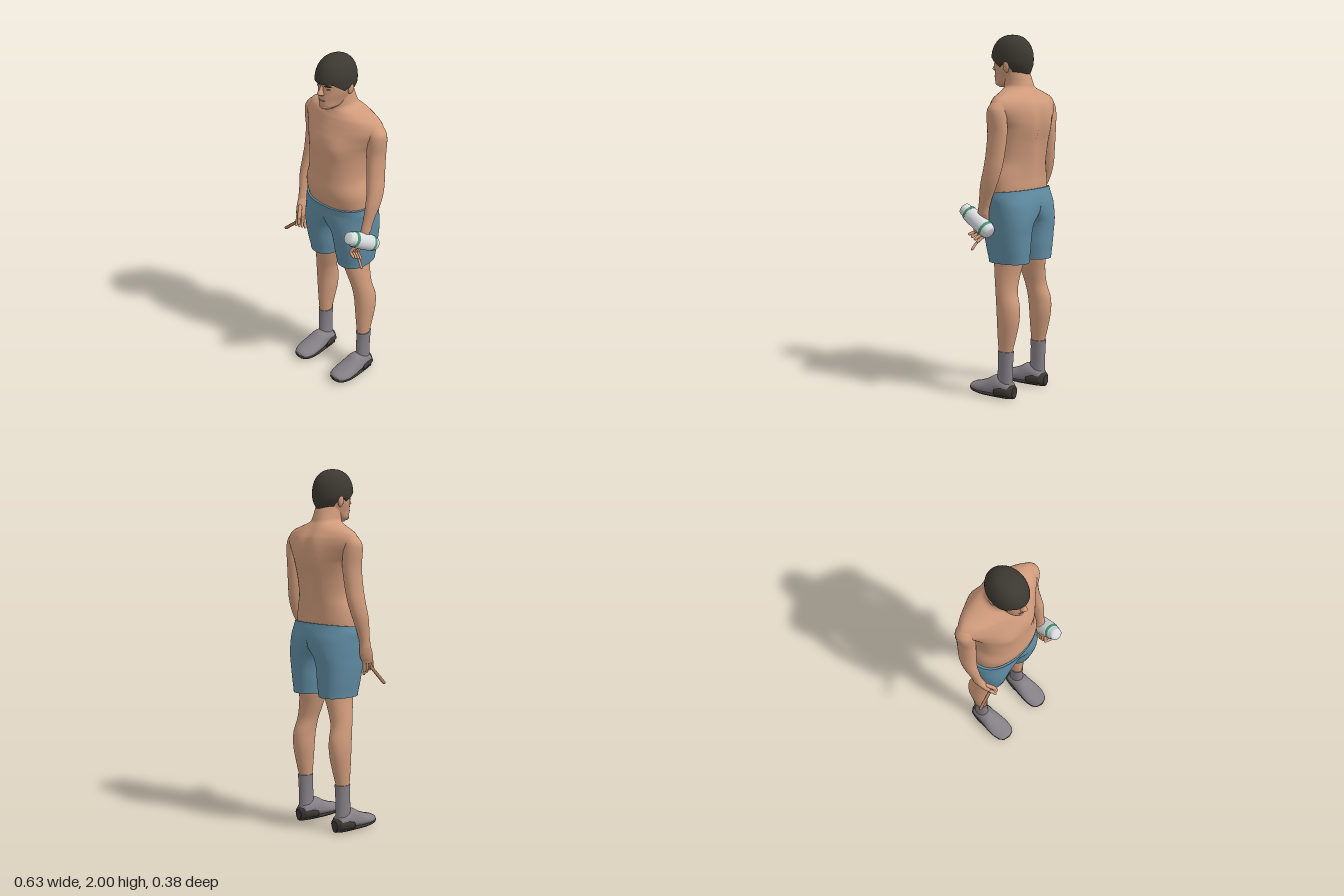
import * as THREE from 'three';
import { toCreasedNormals } from 'three/addons/utils/BufferGeometryUtils.js';

const mat = (name, color, side = THREE.FrontSide) => {
  const m = new THREE.MeshStandardMaterial({ color, side });
  m.name = name;
  return m;
};

// Closed loft through horizontal slices, lowest first.
// Row: [y, centreX, halfWidth, zFront, zBack, zWidest, squareness]
function loft(rows, { steps = 5, segs = 32, bend } = {}) {
  const full = rows.map(r => [r[0], r[1], r[2], r[3], r[4], r[5] ?? (r[3] + r[4]) / 2, r[6] ?? 2]);
  const rings = [];
  for (let i = 0; i < full.length - 1; i++) {
    const [a, b, c, d] = [-1, 0, 1, 2].map(k => full[Math.min(Math.max(i + k, 0), full.length - 1)]);
    for (let s = 0; s < steps; s++) {
      const t = s / steps;
      rings.push(b.map((v, k) => k === 0 ? v + (c[0] - v) * t : 0.5 * (2 * v + (c[k] - a[k]) * t
        + (2 * a[k] - 5 * v + 4 * c[k] - d[k]) * t * t + (3 * v - a[k] - 3 * c[k] + d[k]) * t ** 3)));
    }
  }
  rings.push(full[full.length - 1]);
  const pos = [], idx = [], p = new THREE.Vector3();
  const put = (x, y, z) => {
    p.set(x, y, z);
    if (bend) bend(p);
    pos.push(p.x, p.y, p.z);
  };
  const ring = ([y, cx, rx, zf, zb, zm, n]) => {
    for (let j = 0; j < segs; j++) {
      const a = j / segs * Math.PI * 2, c = Math.cos(a), s = Math.sin(a);
      const k = (Math.abs(c) ** n + Math.abs(s) ** n) ** (-1 / n);
      put(cx + Math.max(rx, 0.001) * c * k, y, zm + s * k * (s > 0 ? zf - zm : zm - zb));
    }
  };
  rings.forEach(ring);
  for (let i = 0; i < rings.length - 1; i++) for (let j = 0; j < segs; j++) {
    const a = i * segs + j, b = i * segs + (j + 1) % segs;
    idx.push(a, a + segs, b, a + segs, b + segs, b);
  }
  for (const [r, up] of [[rings[0], false], [rings[rings.length - 1], true]]) {
    const base = pos.length / 3;
    ring(r);
    put(r[1], r[0], r[5]);
    for (let j = 0; j < segs; j++) {
      const a = base + j, b = base + (j + 1) % segs;
      idx.push(base + segs, up ? b : a, up ? a : b);
    }
  }
  const g = new THREE.BufferGeometry();
  g.setAttribute('position', new THREE.Float32BufferAttribute(pos, 3));
  g.setIndex(idx);
  g.computeVertexNormals();
  return g;
}

export function createModel() {
  const root = new THREE.Group(), body = new THREE.Group();
  root.name = 'standingMan';
  body.name = 'figure';
  body.position.x = 0.008;
  root.add(body);

  const skin = mat('skin', 0xd19c7c), blue = mat('shortsBlue', 0x618da4), hairMat = mat('hair', 0x3d3932, THREE.DoubleSide);
  const grey = mat('sockGrey', 0x858086), dark = mat('soleDark', 0x3b3632), white = mat('bottleWhite', 0xd9dde0);
  const green = mat('bottleGreen', 0x4b9573), wood = mat('stickBrown', 0xa8775f), lip = mat('lips', 0xb07a62);

  const add = (name, geo, m, parent = body) => {
    const mesh = new THREE.Mesh(geo, m);
    mesh.name = name;
    parent.add(mesh);
    return mesh;
  };
  const V = a => new THREE.Vector3(...a);
  const align = (mesh, a, b) => mesh.quaternion.setFromUnitVectors(new THREE.Vector3(0, 1, 0), b.clone().sub(a).normalize());
  const rod = (name, from, to, r, m, parent) => {
    const a = V(from), b = V(to);
    const mesh = add(name, new THREE.CapsuleGeometry(r, a.distanceTo(b), 4, 10), m, parent);
    mesh.position.copy(a).lerp(b, 0.5);
    align(mesh, a, b);
  };
  const blob = (name, p, s, m) => {
    const mesh = add(name, new THREE.SphereGeometry(1, 16, 12), m);
    mesh.position.set(...p);
    mesh.scale.set(...s);
    return mesh;
  };
  const bump = (x, c, w) => Math.exp(-(((x - c) / w) ** 2));
  const sm = THREE.MathUtils.smoothstep;

  // Torso running out into the shoulders, with chest swell, shoulder blades and spine groove
  add('torso', loft([
    [1.10, 0, 0.202, 0.105, -0.135, -0.02, 2.2], [1.17, 0, 0.206, 0.130, -0.142, -0.02, 2.2],
    [1.24, 0, 0.202, 0.143, -0.143, -0.01, 2.2], [1.32, 0, 0.180, 0.138, -0.150, -0.01, 2.2],
    [1.42, 0, 0.186, 0.134, -0.163, -0.02, 2.1], [1.50, 0, 0.204, 0.130, -0.180, -0.03, 2],
    [1.555, 0, 0.240, 0.120, -0.184, -0.045, 1.75], [1.60, 0, 0.270, 0.105, -0.180, -0.05, 1.6],
    [1.635, 0, 0.264, 0.092, -0.168, -0.055, 1.6], [1.665, 0, 0.232, 0.080, -0.148, -0.055, 1.65],
    [1.690, 0, 0.160, 0.068, -0.130, -0.05, 1.8], [1.715, 0, 0.086, 0.060, -0.112, -0.03, 2],
    [1.75, 0, 0.071, 0.062, -0.100, -0.02, 2], [1.82, 0, 0.066, 0.070, -0.080, 0, 2],
  ], { segs: 64, bend: p => {
    const ax = Math.abs(p.x);
    if (p.z < -0.06) p.z += bump(p.y, 1.47, 0.2) * (0.016 * bump(ax, 0, 0.04) - 0.014 * bump(ax, 0.065, 0.05));
    if (p.z > 0.03) p.z += 0.010 * bump(p.y, 1.5, 0.06) * bump(ax, 0.085, 0.05);
  } }), skin);

  // Head and face
  add('head', loft([
    [1.715, 0, 0.022, 0.105, 0.030], [1.735, 0, 0.048, 0.126, -0.010], [1.77, 0, 0.064, 0.130, -0.045, 0.02],
    [1.81, 0, 0.078, 0.127, -0.070, 0.02], [1.85, 0, 0.085, 0.126, -0.088, 0.02], [1.90, 0, 0.086, 0.124, -0.090, 0.02],
    [1.95, 0, 0.066, 0.090, -0.055, 0.02], [1.98, 0, 0.025, 0.050, -0.010, 0.02],
  ]), skin);
  add('nose', loft([
    [1.800, 0, 0.010, 0.130, 0.110], [1.810, 0, 0.019, 0.149, 0.110], [1.818, 0, 0.016, 0.153, 0.110],
    [1.835, 0, 0.010, 0.142, 0.110], [1.860, 0, 0.009, 0.130, 0.110],
  ], { segs: 16 }), skin);
  blob('mouth', [0, 1.774, 0.125], [0.026, 0.004, 0.008], lip);
  blob('chin', [0, 1.736, 0.107], [0.028, 0.016, 0.022], skin);
  for (const s of [1, -1]) {
    blob('eye', [s * 0.034, 1.842, 0.114], [0.015, 0.0035, 0.005], dark).rotation.y = s * 0.35;
    blob('eyebrow', [s * 0.036, 1.859, 0.116], [0.022, 0.004, 0.006], hairMat).rotation.y = s * 0.35;
    blob('ear', [s * 0.088, 1.826, 0.000], [0.010, 0.030, 0.019], skin).rotation.z = -s * 0.15;
  }

  // Hair cap whose lower edge drops from fringe to sideburns to nape
  add('hair', loft([[0, 0, 1, 1, -1], [1, 0, 1, 1, -1]], { steps: 22, segs: 64, bend: p => {
    const len = Math.hypot(p.x, p.z), c = p.x / (len || 1), s = p.z / (len || 1);
    const low = 1.787 + 0.056 * sm(s, -0.55, -0.15) - 0.016 * bump(s, 0.2, 0.1) + 0.032 * sm(s, 0.3, 0.8);
    const y = low + (2 - low) * Math.sin(p.y * Math.PI / 2);
    const r = len * Math.max(0, 1 - Math.abs((y - 1.865) / 0.135) ** 2.25) ** (1 / 2.25);
    p.set(c * r * 0.097 * (0.78 + 0.22 * sm(y, 1.785, 1.85)), y, 0.02 + s * r * 0.125);
  } }), hairMat);

  for (const s of [1, -1]) {
    const side = s > 0 ? 'left' : 'right';
    // Half of the shorts, cut at the middle plane, with a sloping waistband
    add(side + 'ShortsHalf', toCreasedNormals(loft([
      [0.76, s * 0.106, 0.086, 0.083, -0.152, -0.03, 2.3], [0.84, s * 0.107, 0.097, 0.098, -0.158, -0.03, 2.3],
      [0.92, s * 0.108, 0.106, 0.110, -0.163, -0.03, 2.3], [0.98, s * 0.100, 0.118, 0.117, -0.170, -0.03, 2.3],
      [1.03, s * 0.070, 0.152, 0.121, -0.174, -0.03, 2.3], [1.08, s * 0.030, 0.194, 0.123, -0.174, -0.03, 2.3],
      [1.12, 0, 0.226, 0.124, -0.166, -0.02, 2.2], [1.155, 0, 0.218, 0.130, -0.155, -0.02, 2.2],
    ], { segs: 64, bend: p => {
      p.x = s * Math.max(s * p.x, 0);
      p.y -= 0.09 * (p.z + 0.02) * sm(p.y, 1.04, 1.155);
    } }), 0.9), blue);

    // Leg, sock and shoe
    add(side + 'Leg', loft([
      [0.25, s * 0.158, 0.033, -0.006, -0.086], [0.34, s * 0.157, 0.043, 0.000, -0.108], [0.44, s * 0.155, 0.054, 0.004, -0.128],
      [0.52, s * 0.152, 0.056, 0.010, -0.128], [0.60, s * 0.142, 0.056, 0.022, -0.106], [0.68, s * 0.124, 0.062, 0.040, -0.107],
      [0.76, s * 0.108, 0.068, 0.056, -0.120], [0.84, s * 0.105, 0.075, 0.060, -0.130],
    ]), skin);
    add(side + 'Sock', loft([
      [0.06, s * 0.157, 0.036, 0.005, -0.090], [0.14, s * 0.158, 0.035, 0.002, -0.090],
      [0.22, s * 0.158, 0.037, -0.002, -0.092], [0.268, s * 0.158, 0.039, -0.001, -0.095],
    ]), grey);
    const alongZ = rows => loft(rows).rotateX(Math.PI / 2);
    add(side + 'Shoe', alongZ([
      [-0.095, s * 0.155, 0.022, -0.02, -0.07], [-0.08, s * 0.155, 0.042, -0.012, -0.095], [-0.03, s * 0.155, 0.051, -0.012, -0.115],
      [0.02, s * 0.154, 0.057, -0.012, -0.122, -0.05], [0.07, s * 0.154, 0.063, -0.012, -0.095, -0.045],
      [0.12, s * 0.153, 0.064, -0.012, -0.075, -0.04], [0.165, s * 0.151, 0.052, -0.015, -0.062, -0.038],
      [0.182, s * 0.151, 0.034, -0.022, -0.054, -0.038], [0.189, s * 0.151, 0.008, -0.034, -0.044],
    ]), grey);
    add(side + 'Sole', alongZ([
      [-0.100, s * 0.155, 0.020, 0, -0.025], [-0.075, s * 0.155, 0.046, 0, -0.028], [0.02, s * 0.154, 0.055, 0, -0.026],
      [0.10, s * 0.153, 0.062, -0.002, -0.032], [0.155, s * 0.151, 0.058, -0.006, -0.046], [0.183, s * 0.151, 0.038, -0.014, -0.046],
      [0.192, s * 0.151, 0.012, -0.024, -0.040],
    ]), dark);
    add(side + 'HeelCup', alongZ([
      [-0.104, s * 0.155, 0.024, -0.008, -0.066], [-0.088, s * 0.155, 0.046, -0.003, -0.078],
      [-0.04, s * 0.155, 0.058, -0.002, -0.082], [0.000, s * 0.155, 0.061, -0.003, -0.070],
    ]), dark);

    // Arm and hand
    add(side + 'Arm', loft([
      [1.04, s * 0.246, 0.024, 0.072, 0.004], [1.10, s * 0.250, 0.025, 0.060, -0.012], [1.20, s * 0.256, 0.033, 0.045, -0.056],
      [1.28, s * 0.250, 0.039, 0.028, -0.082], [1.36, s * 0.240, 0.041, 0.018, -0.095], [1.48, s * 0.232, 0.045, 0.010, -0.106],
      [1.56, s * 0.236, 0.050, 0.010, -0.104], [1.605, s * 0.232, 0.053, 0.006, -0.098],
      [1.640, s * 0.212, 0.049, -0.005, -0.092], [1.660, s * 0.195, 0.030, -0.030, -0.080],
    ]), skin);
    add(side + 'Palm', loft([
      [0.945, s * 0.224, 0.013, 0.112, 0.045], [0.975, s * 0.230, 0.020, 0.108, 0.022],
      [1.01, s * 0.238, 0.023, 0.094, 0.008], [1.06, s * 0.247, 0.023, 0.068, 0.004],
    ]), skin);
    for (let i = 0; i < 4; i++) {
      const z = 0.050 + i * 0.019, k = [s * 0.212, 0.905 + i * 0.008, z + 0.014];
      rod(side + 'Finger', [s * 0.225, 0.955, z], k, 0.0095, skin);
      // Left fingertips curl out under the bottle, right ones inward
      const tip = s > 0 ? 0.246 : -0.196 - i * 0.004;
      rod(side + 'Fingertip', k, [tip, 0.882 + i * 0.012, z + 0.026], 0.008, skin);
    }
  }
  rod('rightThumb', [-0.226, 1.01, 0.085], [-0.198, 0.965, 0.118], 0.011, skin);
  rod('rightThumbTip', [-0.198, 0.965, 0.118], [-0.192, 0.935, 0.128], 0.009, skin);
  rod('leftThumb', [0.236, 1.03, 0.065], [0.252, 1.042, 0.092], 0.011, skin);
  rod('leftThumbTip', [0.252, 1.042, 0.092], [0.284, 1.024, 0.106], 0.009, skin);

  // Thin stick in the right hand
  rod('stick', [-0.304, 0.843, 0.118], [-0.200, 0.935, 0.102], 0.009, wood, root);
  // Finger reaching below the bottle
  rod('leftLongFinger', [0.235, 0.895, 0.08], [0.280, 0.842, 0.095], 0.007, skin, root);

  // Bottle in the left hand, built along its own axis
  const bottle = new THREE.Group();
  bottle.name = 'bottle';
  const from = V([0.270, 0.938, -0.022]), to = V([0.253, 1.058, 0.170]);
  bottle.position.copy(from);
  align(bottle, from, to);
  root.add(bottle);
  const lathe = (name, pts, m) => add(name, new THREE.LatheGeometry(pts.map(p => new THREE.Vector2(...p)), 32), m, bottle);
  lathe('bottleBody', [[0, 0], [0.026, 0], [0.035, 0.006], [0.040, 0.018], [0.044, 0.035], [0.046, 0.10],
    [0.046, 0.158], [0.043, 0.170], [0.041, 0.185], [0.036, 0.198]], white);
  lathe('bottleCap', [[0.036, 0.196], [0.036, 0.215], [0.033, 0.226], [0.024, 0.232], [0, 0.233]], white);
  lathe('upperGreenBand', [[0.043, 0.174], [0.0445, 0.176], [0.0425, 0.189], [0.038, 0.192]], green);
  lathe('lowerGreenBand', [[0.042, 0.032], [0.0452, 0.035], [0.0462, 0.049], [0.044, 0.051]], green);
  return root;
}
